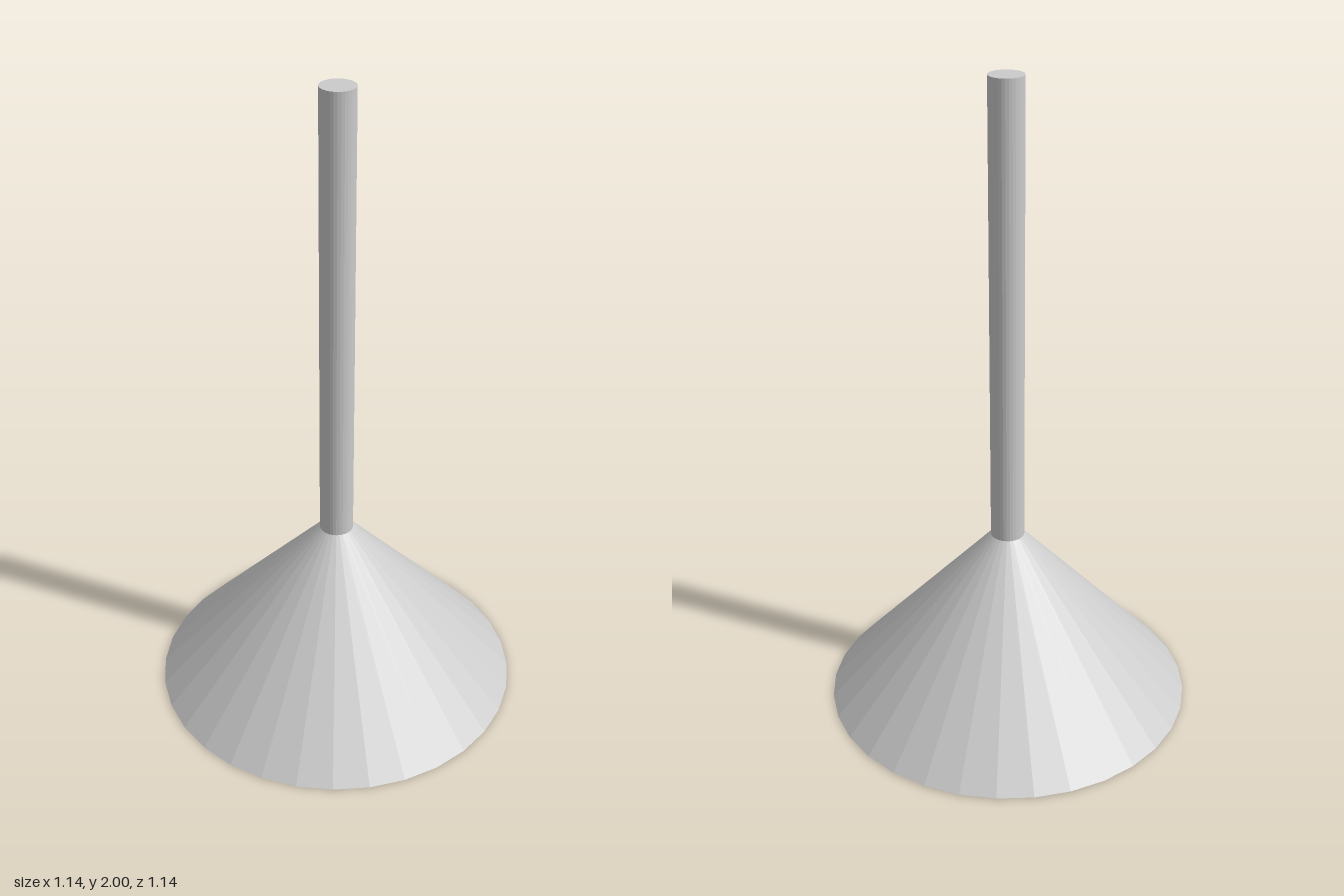
import * as THREE from 'three';

const SIDES = 32;
const RIM_R = 0.57, STEM_R = 0.052;
const CONE_TOP = 0.566, HEIGHT = 1.998;

export function createModel() {
  const model = new THREE.Group();
  const material = new THREE.MeshStandardMaterial({ color: 0xcccccc, flatShading: true });

  // Conical base with a shallow recess and flat ceiling on its underside
  const profile = [
    [0, 0.134], [RIM_R * 0.6, 0.134], [RIM_R, 0], [STEM_R, CONE_TOP],
  ].map(([r, y]) => new THREE.Vector2(r, y));
  const base = new THREE.Mesh(new THREE.LatheGeometry(profile, SIDES), material);
  base.name = 'base';

  // Upright rod
  const rodLength = HEIGHT - CONE_TOP;
  const stem = new THREE.Mesh(
    new THREE.CylinderGeometry(STEM_R, STEM_R, rodLength, SIDES), material);
  stem.position.y = CONE_TOP + rodLength / 2;
  stem.name = 'stem';

  // The whole stand leans very slightly forward
  const stand = new THREE.Group();
  stand.name = 'stand';
  stand.add(base, stem);
  stand.rotation.x = 0.0035;
  stand.position.set(0, 0.002, -0.001);
  model.add(stand);
  return model;
}
